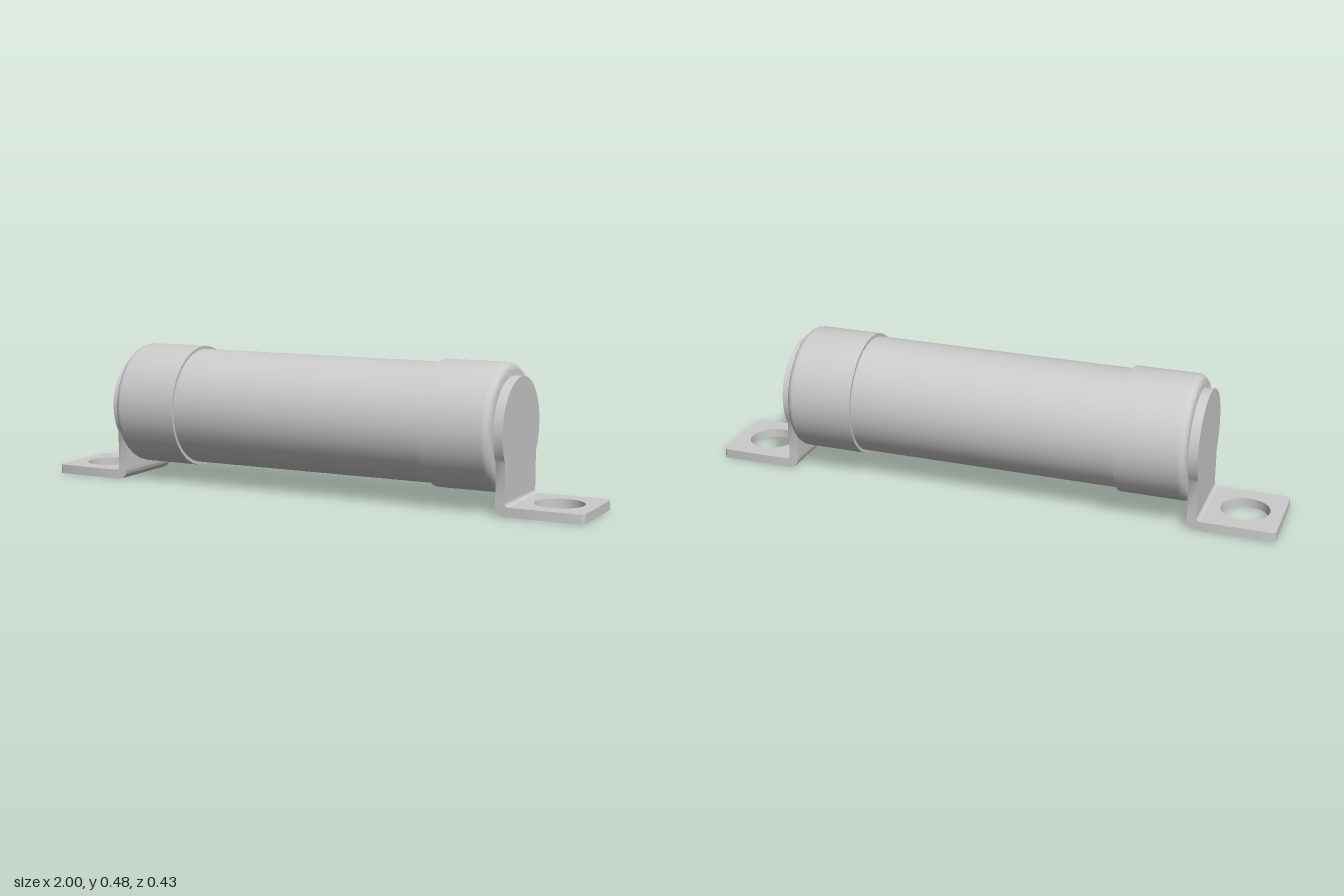
import * as THREE from 'three';
import { toCreasedNormals } from 'three/addons/utils/BufferGeometryUtils.js';

const AXIS_Y = 0.267, BODY_R = 0.202, CAP_R = 0.213;
const CAP_IN = 0.465, CAP_OUT = 0.705;             // cap extent along x
const T = 0.032, HALF_W = 0.142, DISC_R = 0.17;    // bracket strip
const R_IN = 0.013, R_OUT = 0.035;                 // bend radii
const material = new THREE.MeshStandardMaterial({ color: 0xcccccc });

function mesh(name, geometry) {
  const m = new THREE.Mesh(toCreasedNormals(geometry, 0.6), material);
  m.name = name;
  return m;
}

const extrude = (shape, depth) =>
  new THREE.ExtrudeGeometry(shape, { depth, bevelEnabled: false, curveSegments: 20 });

// Cap with a rounded outer edge, revolved around the x axis
function makeCap() {
  const r = 0.026;
  const profile = [new THREE.Vector2(BODY_R - 0.01, CAP_IN), new THREE.Vector2(CAP_R, CAP_IN)];
  for (let i = 0; i <= 6; i++) {
    const a = (i / 6) * Math.PI / 2;
    profile.push(new THREE.Vector2(CAP_R - r + r * Math.cos(a), CAP_OUT - r + r * Math.sin(a)));
  }
  profile.push(new THREE.Vector2(0, CAP_OUT));
  return mesh('endCap', new THREE.LatheGeometry(profile, 32).rotateZ(-Math.PI / 2).translate(0, AXIS_Y, 0));
}

// L-shaped mounting bracket: round-headed plate, bend and drilled foot
function makeBracket() {
  const group = new THREE.Group();
  group.name = 'bracket';
  const x0 = CAP_OUT, x1 = x0 + T;
  const bendY = T + R_IN, bendX = x1 + R_IN;

  const plate = new THREE.Shape();
  const a = Math.acos(HALF_W / DISC_R);
  plate.moveTo(-HALF_W, bendY);
  plate.lineTo(HALF_W, bendY);
  plate.absarc(0, AXIS_Y, DISC_R, -a, Math.PI + a, false);
  plate.closePath();
  group.add(mesh('bracketPlate', extrude(plate, T).rotateY(Math.PI / 2).translate(x0, 0, 0)));

  const bend = new THREE.Shape();
  bend.moveTo(x0, bendY);
  bend.lineTo(x0, R_OUT);
  bend.absarc(x0 + R_OUT, R_OUT, R_OUT, Math.PI, Math.PI * 1.5, false);
  bend.lineTo(bendX, 0);
  bend.lineTo(bendX, T);
  bend.absarc(bendX, bendY, R_IN, Math.PI * 1.5, Math.PI, true);
  bend.closePath();
  group.add(mesh('bracketBend', extrude(bend, HALF_W * 2).translate(0, 0, -HALF_W)));

  const foot = new THREE.Shape();
  const c = 0.018;
  foot.moveTo(bendX, -HALF_W);
  foot.lineTo(1 - c, -HALF_W);
  foot.absarc(1 - c, -HALF_W + c, c, -Math.PI / 2, 0, false);
  foot.lineTo(1, HALF_W - c);
  foot.absarc(1 - c, HALF_W - c, c, 0, Math.PI / 2, false);
  foot.lineTo(bendX, HALF_W);
  foot.closePath();
  foot.holes.push(new THREE.Path().absarc(0.872, 0, 0.083, 0, Math.PI * 2, true));
  group.add(mesh('bracketFoot', extrude(foot, T).rotateX(-Math.PI / 2)));
  return group;
}

export function createModel() {
  const model = new THREE.Group();
  model.name = 'cylinderWithBrackets';

  // Tube between the caps
  const tube = new THREE.CylinderGeometry(BODY_R, BODY_R, CAP_IN * 2 + 0.02, 32);
  model.add(mesh('body', tube.rotateZ(Math.PI / 2).translate(0, AXIS_Y, 0)));

  // Identical ends, turned half round about y
  for (const [name, turn] of [['leftEnd', 0], ['rightEnd', Math.PI]]) {
    const end = new THREE.Group();
    end.name = name;
    end.add(makeCap(), makeBracket());
    end.rotation.y = turn;
    model.add(end);
  }
  return model;
}
